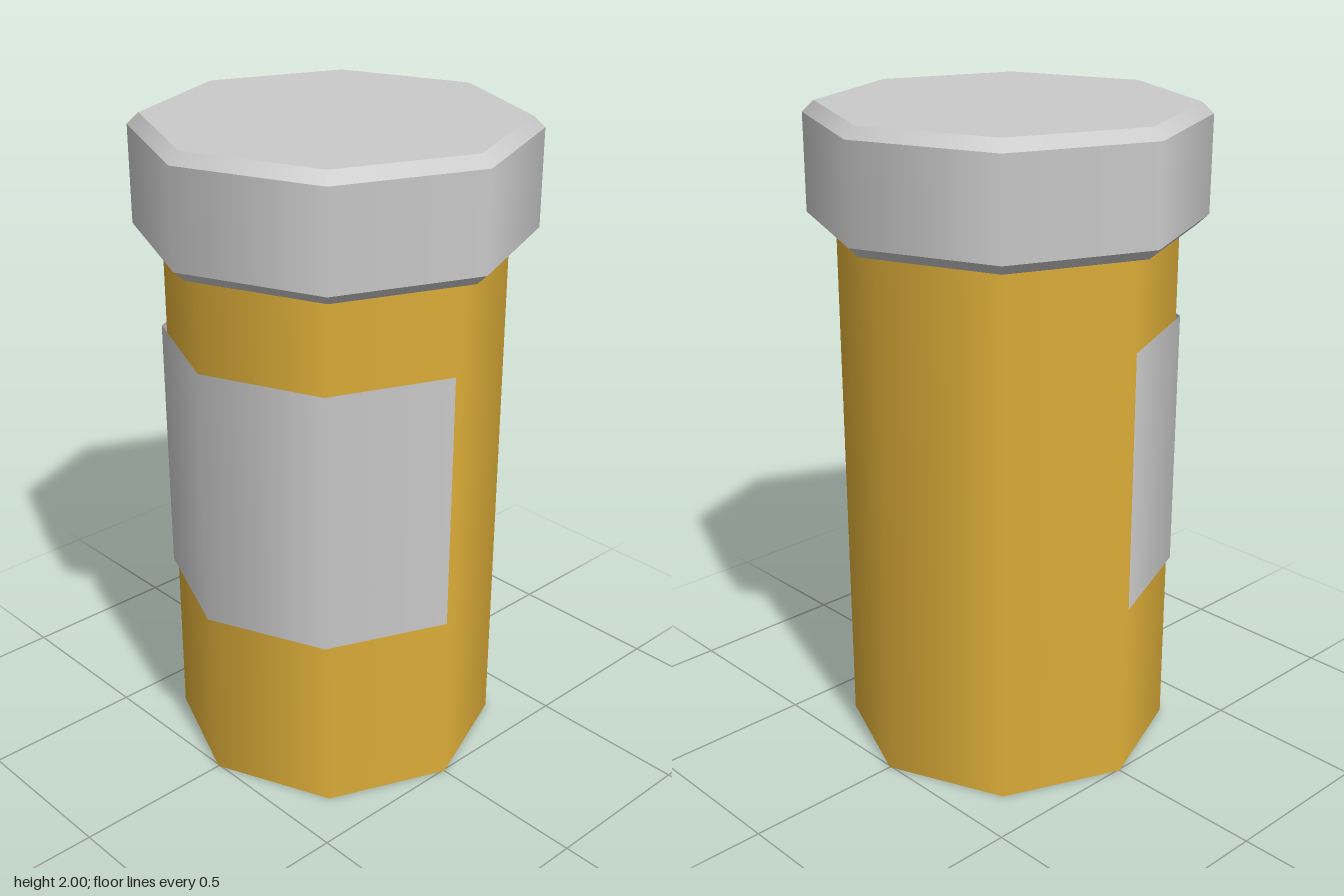
import * as THREE from 'three';

const SIDES = 8;

export function createModel() {
  const amber = new THREE.MeshStandardMaterial({ color: 0xdeae39 });
  amber.name = 'amber';
  const paleGrey = new THREE.MeshStandardMaterial({ color: 0xcbcbcb, side: THREE.DoubleSide });
  paleGrey.name = 'paleGrey';

  const model = new THREE.Group();
  model.name = 'pillBottle';

  const add = (parent, name, geometry, material, y, z = 0) => {
    const mesh = new THREE.Mesh(geometry, material);
    mesh.name = name;
    mesh.position.set(0, y, z);
    parent.add(mesh);
  };

  // Eight-sided bottle
  add(model, 'bottle', new THREE.CylinderGeometry(0.505, 0.505, 1.66, SIDES), amber, 0.83);

  // Label: open half shell shifted slightly forward
  const label = new THREE.CylinderGeometry(0.507, 0.507, 0.805, SIDES / 2, 1, true, -Math.PI / 2, Math.PI);
  add(model, 'label', label, paleGrey, 0.9575, 0.016);

  // Cap: bevelled rims above and below a straight band, closed by flat discs
  const cap = new THREE.Group();
  cap.name = 'cap';
  model.add(cap);
  const rings = [
    ['capLowerBevel', 0.555, 0.59, 1.643, 1.675],
    ['capBand', 0.59, 0.59, 1.675, 1.967],
    ['capUpperBevel', 0.59, 0.555, 1.967, 2],
  ];
  for (const [name, bottom, top, y0, y1] of rings) {
    add(cap, name, new THREE.CylinderGeometry(top, bottom, y1 - y0, SIDES, 1, true), paleGrey, (y0 + y1) / 2);
  }
  for (const [name, y, tilt] of [['capTop', 2, -1], ['capUnderside', 1.643, 1]]) {
    const disc = new THREE.CircleGeometry(0.555, SIDES).rotateX(tilt * Math.PI / 2);
    add(cap, name, disc, paleGrey, y);
  }

  return model;
}
